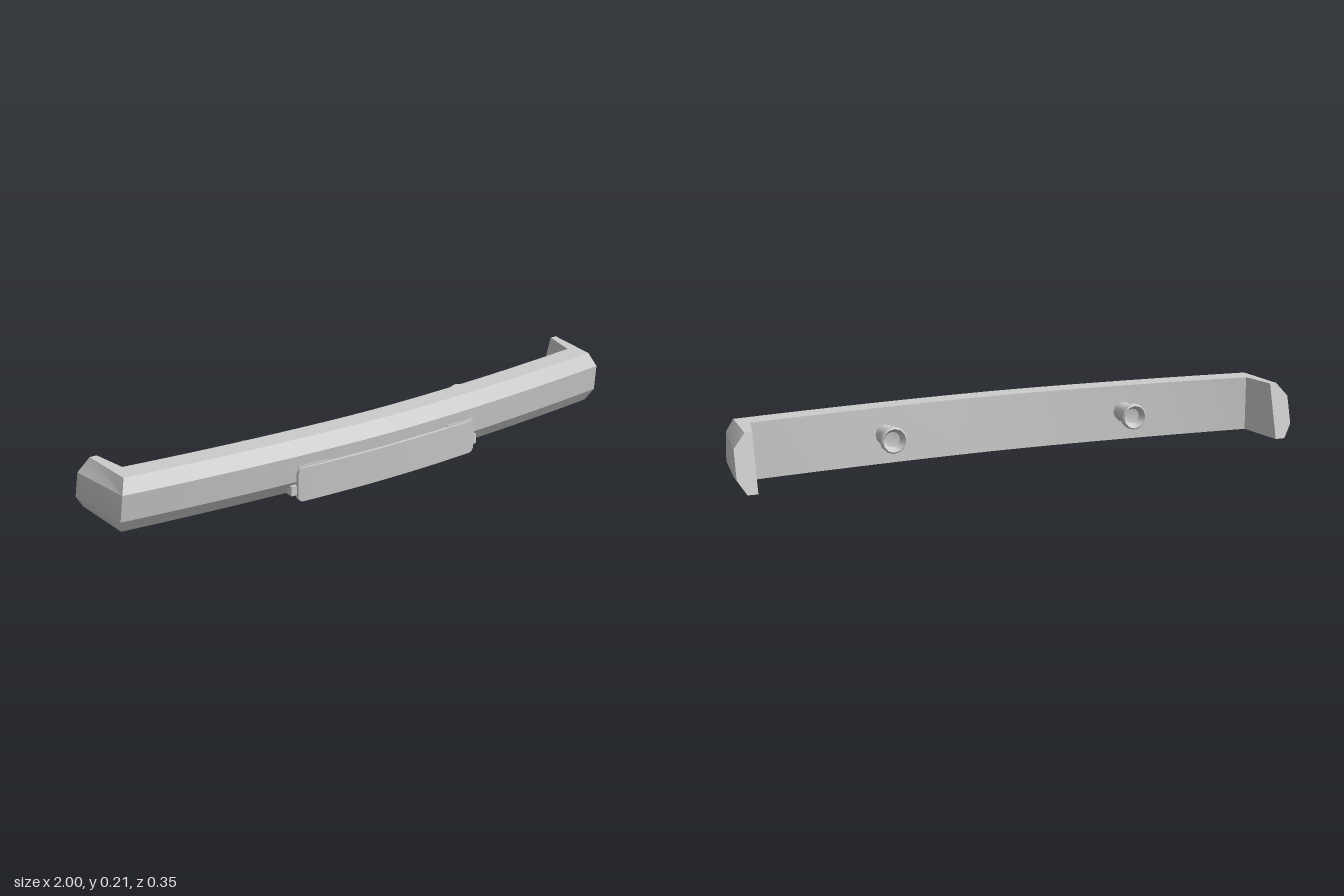
import * as THREE from 'three';
import { toCreasedNormals } from 'three/addons/utils/BufferGeometryUtils.js';

const material = new THREE.MeshStandardMaterial({ color: 0xcccccc });

function addMesh(parent, geometry, name) {
  const mesh = new THREE.Mesh(geometry, material);
  mesh.name = name;
  parent.add(mesh);
  return mesh;
}

// Skins rings of [x, y, z] points ordered from -x to +x, with end caps.
// Each ring runs back-top, front-top, down and round (counter-clockwise from +x).
function loft(rings, crease = 0.42) {
  const n = rings[0].length;
  const index = [];
  for (let i = 0; i < rings.length - 1; i++) {
    for (let j = 0; j < n; j++) {
      const a = i * n + j, b = i * n + (j + 1) % n;
      index.push(a, b, b + n, a, b + n, a + n);
    }
  }
  const last = (rings.length - 1) * n;
  for (let j = 1; j < n - 1; j++) {
    index.push(0, j + 1, j, last, last + j, last + j + 1);
  }
  const geometry = new THREE.BufferGeometry();
  geometry.setAttribute('position', new THREE.Float32BufferAttribute(rings.flat(2), 3));
  geometry.setIndex(index);
  return toCreasedNormals(geometry, crease);
}

// Bumper bar: bowed beam with bevelled edges and returns at both ends
function bumperBar() {
  const centreZ = [0.065, 0.14, 0.17, 0.16, 0.125, 0.05];
  const corner = [
    [0.91, 0.212, 0], [0.945, 0.212, 0.075], [0.965, 0.165, 0.1],
    [0.97, 0.07, 0.087], [0.955, 0.022, 0.057], [0.91, 0.022, 0],
  ];
  const end = [
    [0.935, 0.212, -0.125], [0.96, 0.212, -0.125], [1, 0.165, -0.137],
    [1, 0.07, -0.163], [0.97, 0.022, -0.176], [0.935, 0.022, -0.176],
  ];
  const rings = [end.map(([x, y, z]) => [-x, y, z])];
  const steps = 20;
  for (let i = 0; i <= steps; i++) {
    const t = (2 * i) / steps - 1;
    const bow = Math.abs(t) ** 1.7;
    rings.push(corner.map(([x, y, z], j) => [t * x, y, THREE.MathUtils.lerp(centreZ[j], z, bow)]));
  }
  rings.push(end);
  return loft(rings);
}

const plateBow = (x) => 0.014 * (x / 0.36) ** 2;

// Plate: thin, gently bowed and tilted panel with rounded corners
function plate() {
  const half = 0.36, radius = 0.02, height = 0.122, thickness = 0.016;
  const xs = [];
  for (let i = 0; i <= 4; i++) xs.push(-half + radius * (1 - Math.cos((i * Math.PI) / 8)));
  for (let i = 1; i < 12; i++) xs.push((-half + radius) * (1 - i / 6));
  for (let i = 4; i >= 0; i--) xs.push(half - radius * (1 - Math.cos((i * Math.PI) / 8)));
  return loft(xs.map((x) => {
    const d = Math.max(0, Math.abs(x) - half + radius);
    const inset = radius - Math.sqrt(Math.max(0, radius * radius - d * d));
    const top = height - inset, bottom = inset;
    const z = (y) => 0.17 + 0.007 * (y / height) - plateBow(x);
    return [
      [x, top, z(top) - thickness], [x, top, z(top)],
      [x, bottom, z(bottom)], [x, bottom, z(bottom) - thickness],
    ];
  }));
}

// Bowed block used by the plate's support
function bowedBlock(x0, x1, y0, y1, back, front) {
  const rings = [];
  for (let i = 0; i <= 8; i++) {
    const x = THREE.MathUtils.lerp(x0, x1, i / 8);
    const f = front - plateBow(x);
    rings.push([[x, y1, back], [x, y1, f], [x, y0, f], [x, y0, back]]);
  }
  return loft(rings);
}

// Mounting post: short stem with a flared, dished end
function mountingPost() {
  const profile = [
    [0, 0], [0.034, 0], [0.034, 0.075], [0.045, 0.09], [0.045, 0.108],
    [0.04, 0.112], [0.026, 0.09], [0, 0.085],
  ].map(([r, h]) => new THREE.Vector2(r, h));
  const geometry = new THREE.LatheGeometry(profile, 12);
  geometry.rotateX(-Math.PI / 2);
  return toCreasedNormals(geometry, 0.6);
}

export function createModel() {
  const model = new THREE.Group();
  model.name = 'bumper';

  addMesh(model, bumperBar(), 'bumperBar');
  addMesh(model, plate(), 'plate');
  addMesh(model, bowedBlock(-0.38, 0.38, 0.024, 0.058, 0.08, 0.163), 'plateBracket');

  for (const [side, s] of [['left', 1], ['right', -1]]) {
    const xs = [s * 0.245, s * 0.355].sort((a, b) => a - b);
    addMesh(model, bowedBlock(xs[0], xs[1], 0.1, 0.128, 0.1, 0.169), `${side}PlateTab`);
    addMesh(model, mountingPost(), `${side}MountingPost`).position.set(s * 0.44, 0.12, 0.055);
  }
  return model;
}
